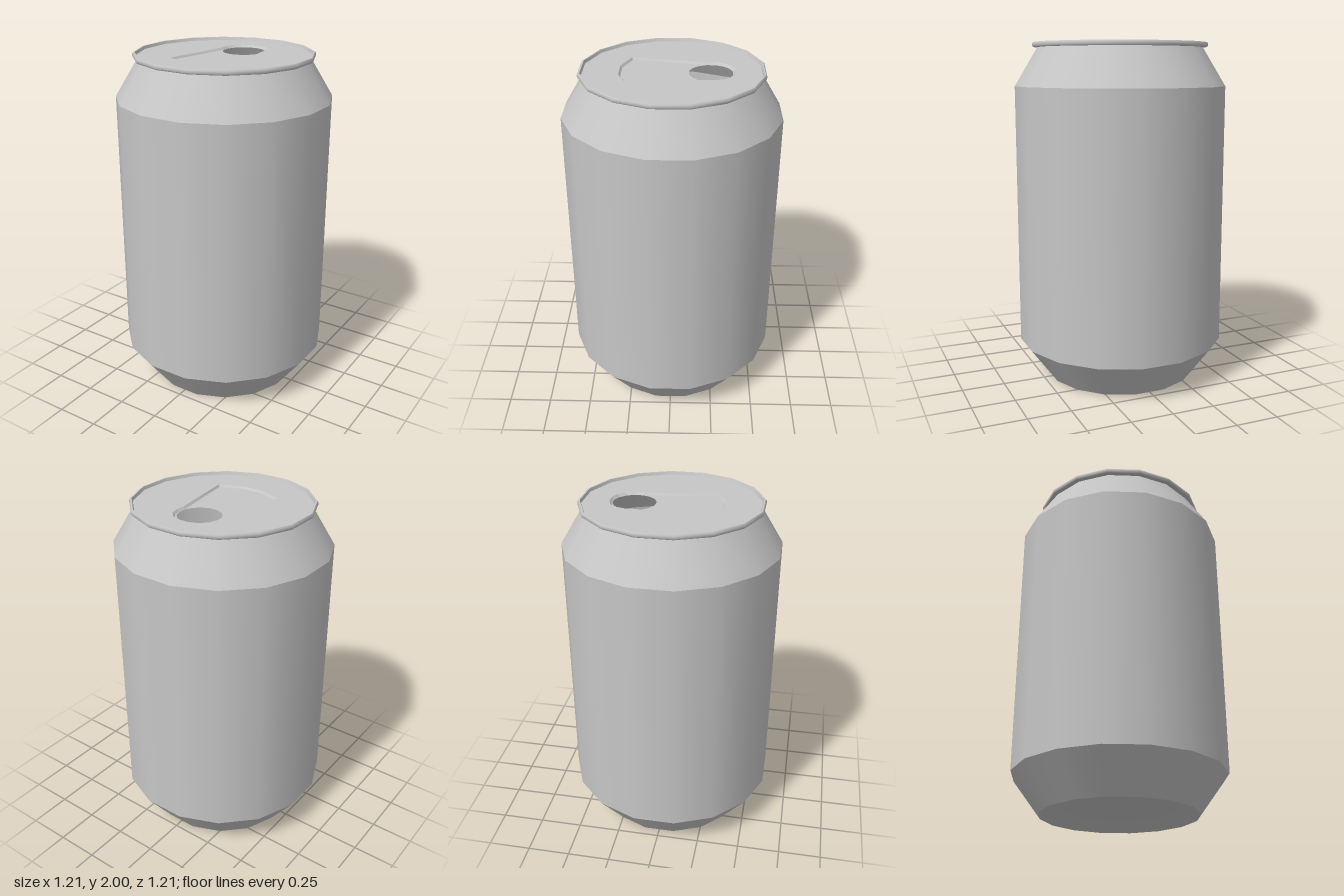
import * as THREE from 'three';

const SIDES = 16;
const TURN = Math.PI / SIDES; // half a side, so that a flat side faces front
const LID_Y = 1.983;
const PANEL_Y = 1.971;

export function createModel() {
  const can = new THREE.Group();
  can.name = 'drinkCan';
  const metal = new THREE.MeshStandardMaterial({ color: 0xc6c6c6, side: THREE.DoubleSide });
  metal.name = 'greyMetal';

  const add = (name, geometry) => {
    const mesh = new THREE.Mesh(geometry, metal);
    mesh.name = name;
    can.add(mesh);
  };
  // One band of revolution; separate bands keep the edges between them sharp
  const band = (name, points) => add(name, new THREE.LatheGeometry(
    points.map(([r, y]) => new THREE.Vector2(r, y)), SIDES, TURN));
  const ring = (r, cz = 0) => Array.from({ length: SIDES }, (_, i) => {
    const a = TURN + (i * 2 * Math.PI) / SIDES;
    return new THREE.Vector2(r * Math.cos(a), r * Math.sin(a) - cz);
  });
  // Horizontal plate with a hole, outlines given as (x, -z)
  const plate = (name, outline, hole, y) => {
    const shape = new THREE.Shape(outline);
    shape.holes.push(new THREE.Path(hole));
    add(name, new THREE.ShapeGeometry(shape).rotateX(-Math.PI / 2).translate(0, y, 0));
  };
  // Mirrors the right half of an outline given as [x, z]
  const mirrored = (half) => [
    ...half.map(([x, z]) => new THREE.Vector2(x, -z)),
    ...half.slice().reverse().map(([x, z]) => new THREE.Vector2(-x, -z)),
  ];

  // Outer shell
  const dome = [];
  for (let i = 0; i <= 6; i++) {
    const t = i / 6;
    dome.push([0.453 * t, 0.1 * (1 - t * t)]);
  }
  band('concaveBase', dome);
  band('lowerTaper', [[0.453, 0], [0.619, 0.222]]);
  band('body', [[0.619, 0.222], [0.619, 1.75]]);
  band('shoulder', [[0.619, 1.75], [0.484, 1.972]]);

  // Rolled rim
  band('rimUnderside', [[0.484, 1.972], [0.509, 1.972]]);
  band('rimOuter', [[0.509, 1.972], [0.515, 1.979], [0.515, 1.992], [0.509, 2]]);
  band('rimTop', [[0.509, 2], [0.501, 2]]);
  band('rimInner', [[0.501, 2], [0.495, LID_Y]]);

  // Lid with a sunken tapered panel and a round drinking hole
  const upper = mirrored([[0.03, -0.344], [0.085, -0.325], [0.12, -0.286],
    [0.135, -0.235], [0.133, -0.18], [0.204, 0.232], [0.067, 0.288]]);
  const lower = mirrored([[0.027, -0.333], [0.078, -0.315], [0.111, -0.279],
    [0.124, -0.233], [0.122, -0.18], [0.195, 0.226], [0.065, 0.277]]);
  plate('lid', ring(0.495), upper, LID_Y);
  plate('sunkenPanel', lower, ring(0.122, -0.21), PANEL_Y);

  // Sloping wall between lid and panel
  const wall = [];
  upper.forEach((a, i) => {
    const j = (i + 1) % upper.length;
    const A = [a.x, LID_Y, -a.y];
    const B = [upper[j].x, LID_Y, -upper[j].y];
    const C = [lower[j].x, PANEL_Y, -lower[j].y];
    const D = [lower[i].x, PANEL_Y, -lower[i].y];
    wall.push(...A, ...D, ...C, ...A, ...C, ...B);
  });
  const wallGeometry = new THREE.BufferGeometry();
  wallGeometry.setAttribute('position', new THREE.Float32BufferAttribute(wall, 3));
  wallGeometry.computeVertexNormals();
  // The wall must face up and inwards
  if (wallGeometry.attributes.normal.getY(0) < 0) {
    const p = wallGeometry.attributes.position;
    for (let i = 0; i < p.count; i += 3) {
      const b = new THREE.Vector3().fromBufferAttribute(p, i + 1);
      const c = new THREE.Vector3().fromBufferAttribute(p, i + 2);
      p.setXYZ(i + 1, c.x, c.y, c.z);
      p.setXYZ(i + 2, b.x, b.y, b.z);
    }
    wallGeometry.computeVertexNormals();
  }
  add('panelWall', wallGeometry);

  return can;
}
